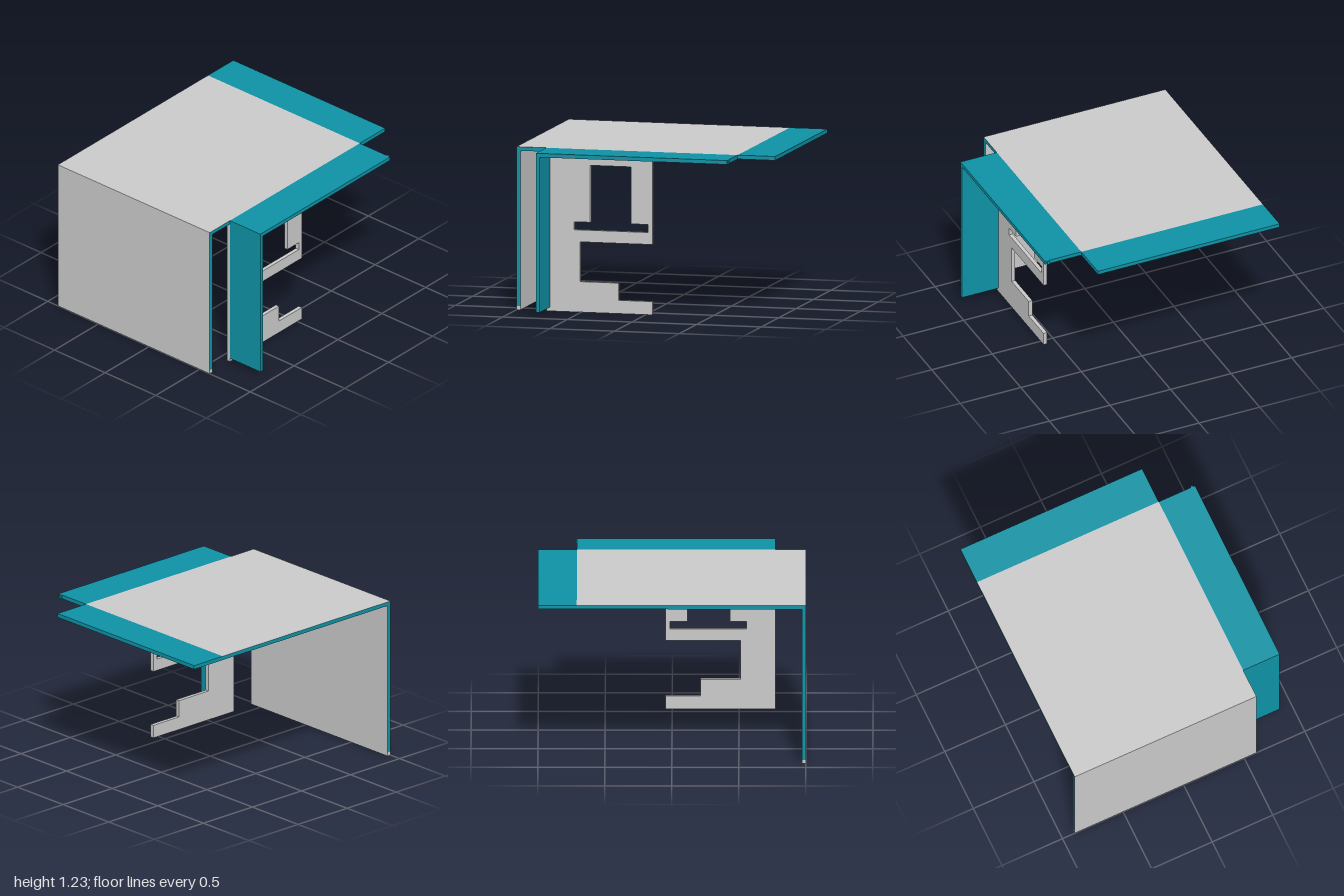
import * as THREE from 'three';

const grey = new THREE.MeshStandardMaterial({ color: 0xc9c9c9 });
grey.name = 'light grey laminate';
const teal = new THREE.MeshStandardMaterial({ color: 0x0e91a4 });
teal.name = 'teal laminate';

const T = 0.03; // board thickness
const TOP = 1.23; // height of the upper surface

// Extrude an outline along z between z0 and z1; caps and sides may differ in colour
function board(name, points, z0, z1, capMaterial, sideMaterial, hole) {
  const toVec = (p) => new THREE.Vector2(p[0], p[1]);
  const shape = new THREE.Shape(points.map(toVec));
  if (hole) shape.holes.push(new THREE.Path(hole.map(toVec)));
  const geometry = new THREE.ExtrudeGeometry(shape, { depth: z1 - z0, bevelEnabled: false });
  geometry.translate(0, 0, z0);
  const mesh = new THREE.Mesh(geometry, [capMaterial, sideMaterial]);
  mesh.name = name;
  return mesh;
}

const rect = (x0, y0, x1, y1) => [[x0, y0], [x1, y0], [x1, y1], [x0, y1]];

// Upright and top joined as an upside-down L
const angle = (x0, x1) => [
  [x0, T], [x0 + T, T], [x0 + T, TOP - T], [x1, TOP - T], [x1, TOP], [x0, TOP],
];

export function createModel() {
  const group = new THREE.Group();
  group.name = 'counter';

  group.add(
    // Main top and side wall, with teal front and back edges
    board('topAndSideWall', angle(-1, 0.71), -0.9, 0.6, teal, grey),
    board('sideWallFoot', rect(-1, 0, -1 + T, T), -0.9, 0.6, grey, grey),
    // Overhanging top on the left
    board('leftOverhang', rect(0.71, TOP - T, 1, TOP), -0.9, 0.6, teal, teal),
    // Front shelf with its upright
    board('frontShelfAndUpright', angle(-0.77, 0.71), 0.6, 0.9, teal, teal),
    board('shelfEndPeg', rect(0.71, TOP - T, 0.72, TOP), 0.865, 0.885, teal, teal),
    // Front panel with stepped notch and T-shaped opening
    board(
      'frontPanel',
      [
        [-0.77, 0], [0.05, 0], [0.05, 0.1], [-0.21, 0.1], [-0.21, 0.23], [-0.51, 0.23],
        [-0.51, 0.53], [0.05, 0.53], [0.05, TOP - T], [-0.77, TOP - T],
      ],
      0.57, 0.6, grey, grey,
      [
        [-0.555, 0.62], [0.015, 0.62], [0.015, 0.68], [-0.115, 0.68],
        [-0.115, 1.11], [-0.43, 1.11], [-0.43, 0.68], [-0.555, 0.68],
      ],
    ),
  );
  return group;
}
